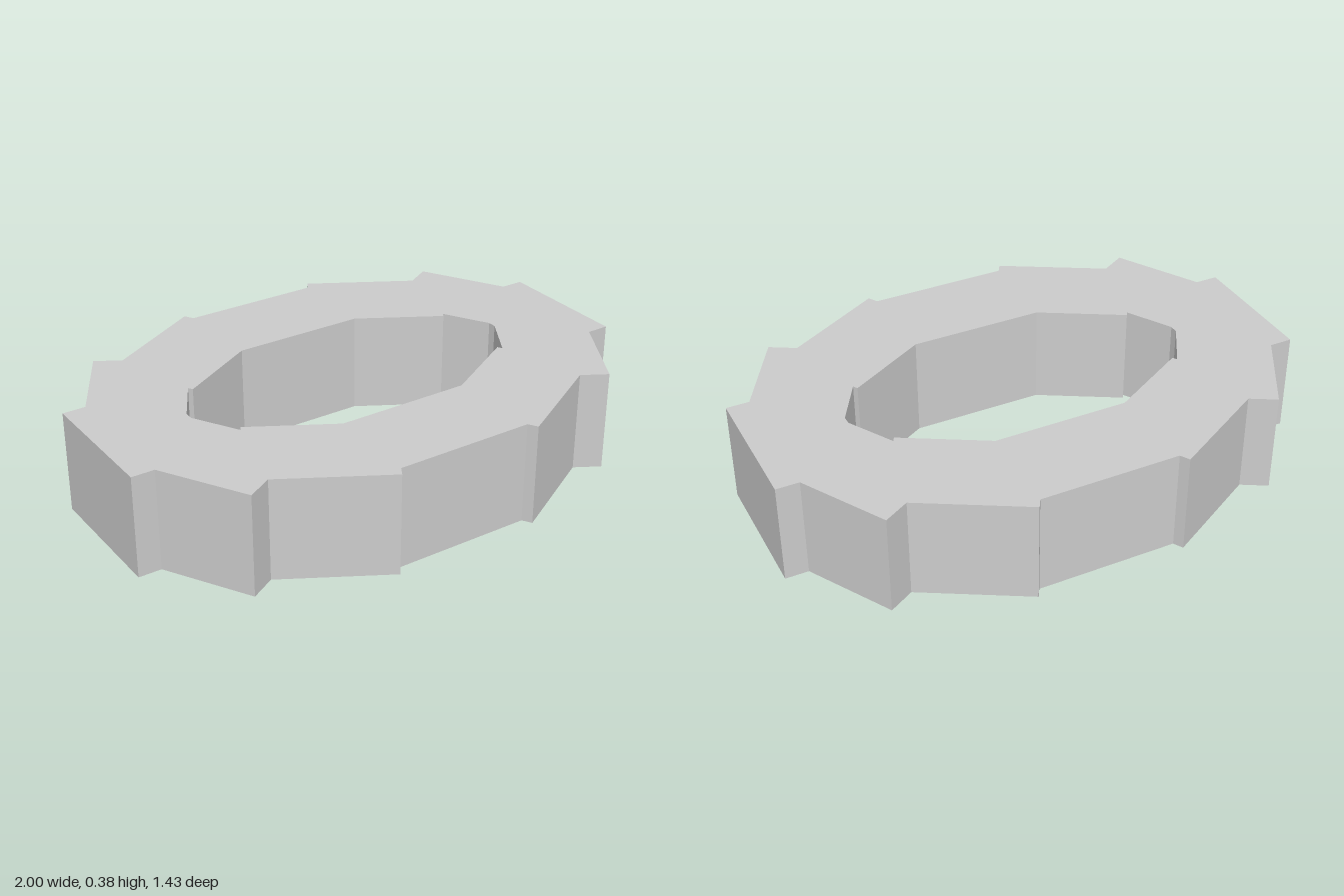
import * as THREE from 'three';

// Mirror a quarter outline (from the x axis to the z axis) into a full counter-clockwise loop
function mirrorQuarter(quarter) {
  const flip = (sx, sy) => quarter.map(([x, y]) => new THREE.Vector2(x * sx, y * sy));
  return [
    ...flip(1, 1),
    ...flip(-1, 1).reverse(),
    ...flip(-1, -1),
    ...flip(1, -1).reverse(),
  ];
}

export function createModel() {
  const group = new THREE.Group();
  group.name = 'segmentedRing';

  const grey = new THREE.MeshStandardMaterial({ color: 0xcccccc });
  grey.name = 'light grey';

  // Outer edge: stepped corners where neighbouring straight segments meet
  const outer = mirrorQuarter([
    [1, 0.255], [0.915, 0.255], [0.74, 0.56], [0.648, 0.507], [0.28, 0.717], [0.26, 0.683],
  ]);
  // Inner opening with small notches at the segment joints
  const inner = mirrorQuarter([
    [0.653, 0.016], [0.557, 0.182], [0.547, 0.165], [0.25, 0.335],
  ]);

  const shape = new THREE.Shape(outer);
  shape.holes.push(new THREE.Path(inner.reverse()));
  const geometry = new THREE.ExtrudeGeometry(shape, { depth: 0.38, bevelEnabled: false });
  geometry.rotateX(-Math.PI / 2);

  const ring = new THREE.Mesh(geometry, grey);
  ring.name = 'ringWall';
  group.add(ring);
  return group;
}
